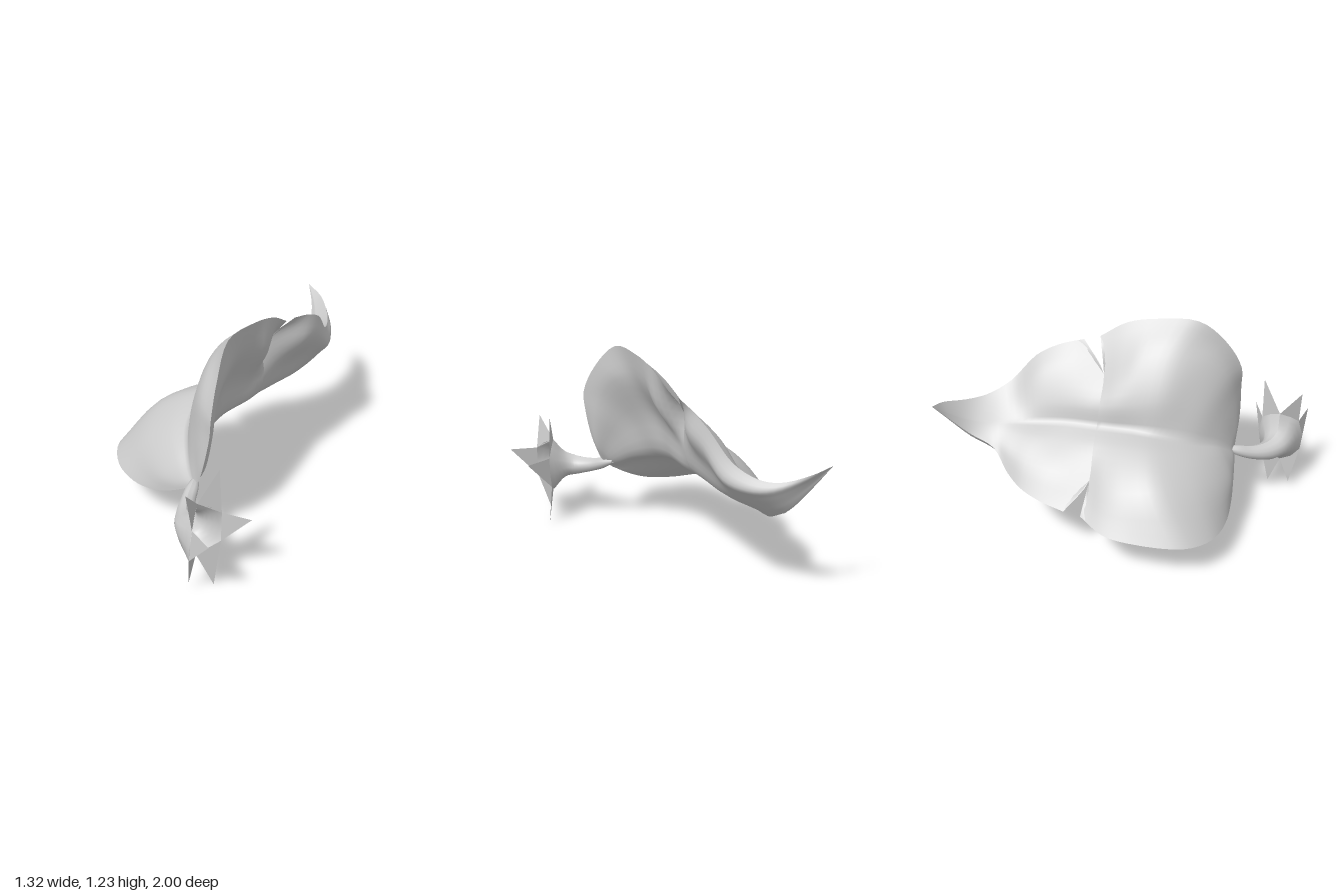
import * as THREE from 'three';

const V = (p) => new THREE.Vector3(...p);
const curve = (pts, n) => new THREE.CatmullRomCurve3(pts).getPoints(n);

// Smooth surface through sections (arrays with the same number of points)
function surface(sections, nv) {
  const cols = sections[0].map((_, i) => curve(sections.map((s) => s[i]), nv));
  const pos = [], idx = [], n = nv + 1;
  cols.forEach((c) => c.forEach((p) => pos.push(p.x, p.y, p.z)));
  for (let i = 0; i < cols.length - 1; i++) for (let j = 0; j < nv; j++) {
    const a = i * n + j, b = a + n;
    idx.push(a, a + 1, b, b, a + 1, b + 1);
  }
  const g = new THREE.BufferGeometry();
  g.setAttribute('position', new THREE.Float32BufferAttribute(pos, 3));
  g.setIndex(idx);
  g.computeVertexNormals();
  return g;
}

// Lobe points from crease to edge: inner, outer, edge (or only the edge)
function lobe(c, r) {
  if (r.length === 3) return r.map(V);
  const e = V(r[0]);
  return [c.clone().lerp(e, 0.33), c.clone().lerp(e, 0.67), e];
}

// Creased top and rounded underside of one leaf half.
// body: [thickness, backward lean] per station; slit: the station that closes at the slit
function leafHalf({ crease, lower, upper, body, slit }, nv) {
  const top = [], under = [];
  crease.forEach((p, i) => {
    const c = V(p), low = lobe(c, lower[i]), up = lobe(c, upper[i]);
    const [thick, lean] = body[i];
    const push = (q, x, y, w) =>
      q.clone().addScaledVector(new THREE.Vector3(x, y, lean).normalize(), thick * w);
    const outer = i === slit ? 0 : 0.9;
    top.push([...curve([c, ...low], 12).reverse(), ...curve([c, ...up], 12).slice(1)]);
    under.push(curve([
      low[2], push(low[1], .3, -.95, outer), push(low[0], .4, -.9, 1), push(c, .7, -.7, 1),
      push(up[0], .9, -.4, 1), push(up[1], .95, -.3, outer), up[2],
    ], 24).reverse());
  });
  return [surface(top, nv), surface(under, nv)];
}

// Front half, from the stem to the side slits
const front = {
  slit: 8,
  crease: [
    [.17, .42, .62], [.12, .46, .60], [.03, .54, .53], [-.06, .60, .43], [-.11, .64, .33],
    [-.14, .67, .20], [-.14, .68, .08], [-.14, .68, -.03], [-.14, .68, -.13],
  ],
  body: [
    [0, -.8], [.04, -.8], [.08, -.8], [.11, -.7], [.13, -.5],
    [.14, -.25], [.14, 0], [.14, 0], [.13, 0],
  ],
  upper: [
    [[.21, .46, .62]],
    [[.17, .52, .61], [.22, .57, .625], [.26, .60, .63]],
    [[.10, .66, .56], [.20, .75, .60], [.30, .78, .625]],
    [[.02, .78, .48], [.16, .92, .56], [.31, .90, .62]],
    [[-.04, .85, .37], [.10, 1.05, .44], [.27, 1.08, .53]],
    [[-.10, .87, .24], [.03, 1.09, .28], [.205, 1.23, .38]],
    [[-.12, .84, .08], [.01, 1.07, .10], [.175, 1.235, .15]],
    [[-.125, .82, -.03], [.005, 1.01, -.02], [.16, 1.2, -.02]],
    [[-.115, .80, -.12], [0, .94, -.12], [.13, 1.11, -.17]],
  ],
  lower: [
    [[.13, .385, .63]],
    [[.08, .42, .625], [.04, .37, .64], [0, .31, .645]],
    [[-.02, .49, .58], [-.08, .38, .64], [-.13, .26, .655]],
    [[-.15, .55, .49], [-.24, .42, .58], [-.30, .235, .65]],
    [[-.24, .60, .37], [-.38, .47, .47], [-.48, .245, .60]],
    [[-.29, .64, .22], [-.48, .52, .29], [-.62, .27, .47]],
    [[-.29, .64, .08], [-.50, .50, .10], [-.66, .285, .20]],
    [[-.28, .63, -.03], [-.47, .49, -.02], [-.64, .30, .02]],
    [[-.27, .62, -.12], [-.41, .49, -.11], [-.55, .34, -.13]],
  ],
};

// Back half, from the slits to the curled tip
const tip = [-.42, .86, -1];
const back = {
  slit: 0,
  crease: [
    [-.14, .68, -.13], [-.14, .68, -.30], [-.15, .67, -.45], [-.17, .66, -.60],
    [-.20, .66, -.73], [-.25, .69, -.86], [-.33, .77, -.95], tip,
  ],
  body: [[.13, 0], [.13, 0], [.13, 0], [.12, 0], [.1, 0], [.07, 0], [.03, 0], [0, 0]],
  upper: [
    [[-.115, .80, -.12], [0, .94, -.12], [.11, 1.09, -.26]],
    [[-.11, .79, -.31], [-.01, .95, -.34], [.09, 1.05, -.40]],
    [[-.11, .77, -.47], [-.03, .90, -.50], [.06, .98, -.53]],
    [[-.01, .83, -.67]], [[-.09, .77, -.79]], [[-.17, .77, -.89]], [[-.30, .82, -.98]], [tip],
  ],
  lower: [
    [[-.27, .62, -.12], [-.41, .49, -.11], [-.54, .35, -.23]],
    [[-.26, .62, -.31], [-.40, .52, -.34], [-.51, .38, -.38]],
    [[-.26, .62, -.47], [-.37, .53, -.49], [-.46, .41, -.50]],
    [[-.24, .62, -.60], [-.32, .55, -.60], [-.38, .45, -.60]],
    [[-.30, .55, -.70]], [[-.29, .62, -.84]], [[-.34, .74, -.94]], [tip],
  ],
};

// Flared mouth of the stem, and the spike standing between each pair of its corners
const mouth = [
  [.43, .54, .85], [.50, .46, .74], [.49, .27, .74],
  [.43, .22, .87], [.49, .27, .98], [.50, .46, .96],
];
const spikeTips = [
  [.49, .73, .74], [.66, .46, .68], [.49, .01, .80],
  [.43, .06, .93], [.66, .46, 1], [.47, .67, .97],
];

// Six-sided ring across a level direction (tx, tz)
function ring([x, y, z], r, tx, tz) {
  const l = Math.hypot(tx, tz);
  return mouth.map((_, i) => {
    const a = (i * Math.PI) / 3, s = (r * Math.sin(a)) / l;
    return new THREE.Vector3(x + tz * s, y + r * Math.cos(a), z - tx * s);
  });
}

export function createModel() {
  const group = new THREE.Group();
  const grey = new THREE.MeshStandardMaterial({ color: 0xcccccc, side: THREE.DoubleSide });
  grey.name = 'leaf grey';
  const add = (name, geometry) => {
    const mesh = new THREE.Mesh(geometry, grey);
    mesh.name = name;
    group.add(mesh);
  };

  const [frontTop, frontUnder] = leafHalf(front, 32);
  const [backTop, backUnder] = leafHalf(back, 28);
  add('leafFrontTop', frontTop);
  add('leafFrontUnderside', frontUnder);
  add('leafBackTop', backTop);
  add('leafBackUnderside', backUnder);

  // Stem, growing out of the leaf and widening to the mouth
  const rings = [
    ring([.15, .44, .575], .012, .4, .9),
    ring([.18, .415, .64], .034, .45, .9),
    ring([.22, .385, .715], .042, .55, .85),
    ring([.29, .365, .80], .06, .7, .7),
    ring([.36, .37, .845], .085, .95, .3),
    mouth.map(V),
  ].map((r) => curve([...r, r[0].clone()], 12));
  add('stem', surface(rings, 20));

  // Pointed spikes around the mouth
  const tris = mouth.flatMap((p, i) => [...p, ...spikeTips[i], ...mouth[(i + 1) % 6]]);
  const spikes = new THREE.BufferGeometry();
  spikes.setAttribute('position', new THREE.Float32BufferAttribute(tris, 3));
  spikes.computeVertexNormals();
  add('stemSpikes', spikes);

  return group;
}
